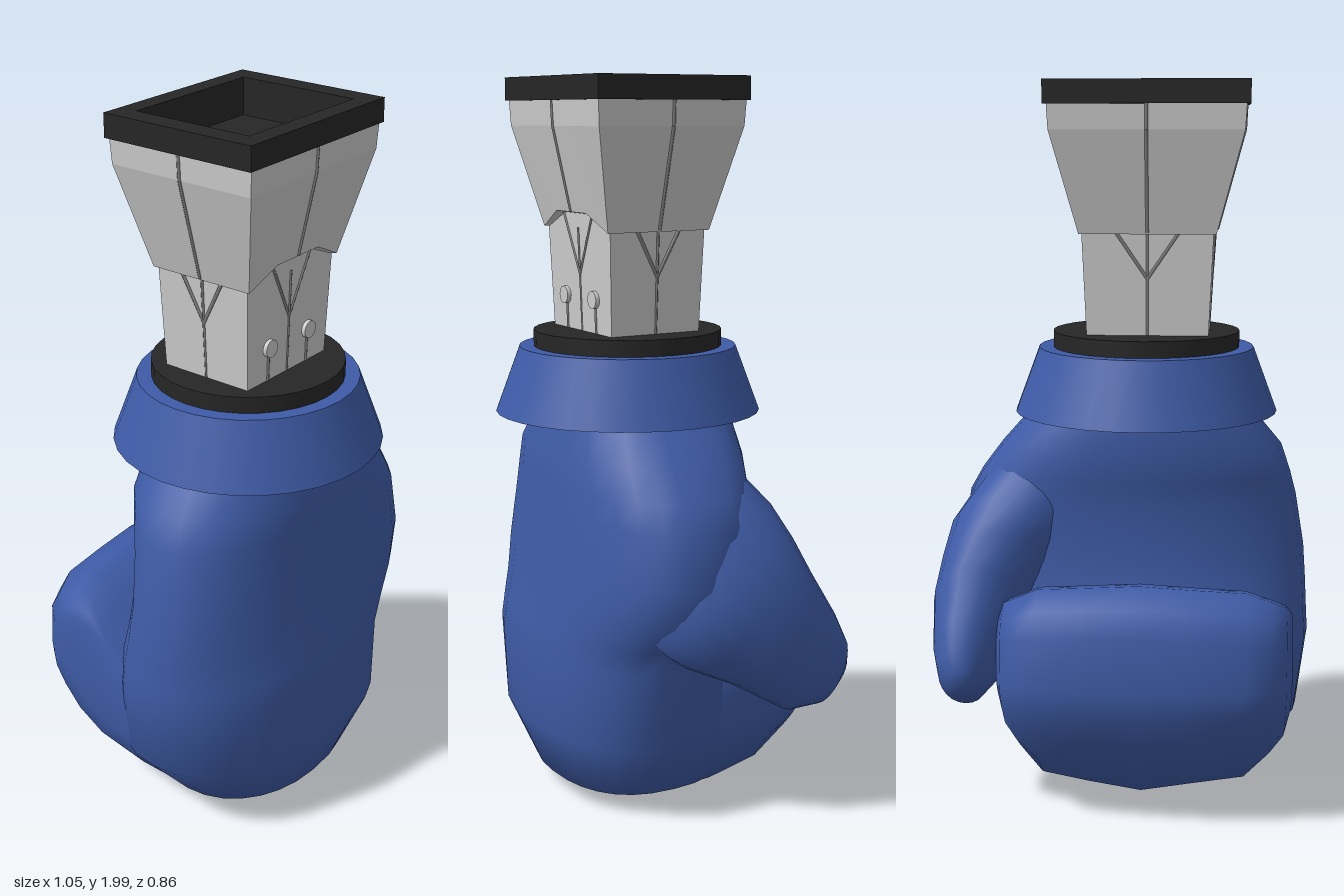
import * as THREE from 'three';

const V = (x, y, z) => new THREE.Vector3(x, y, z);
const CX = -0.073, CZ = 0.067; // axis of cuff and arm

// Skin rings of equal point count; optional start / end points close the ends.
function loft(rings, start, end, flat = false) {
  const n = rings[0].length, pts = rings.flat(), idx = [];
  for (let i = 0; i < rings.length - 1; i++)
    for (let j = 0; j < n; j++) {
      const a = i * n + j, b = i * n + (j + 1) % n;
      idx.push(a, b, b + n, a, b + n, a + n);
    }
  const cap = (p, base, flip) => {
    const c = pts.push(p) - 1;
    for (let j = 0; j < n; j++) {
      const a = base + j, b = base + (j + 1) % n;
      idx.push(c, flip ? b : a, flip ? a : b);
    }
  };
  const last = (rings.length - 1) * n;
  if (start) cap(start, 0, true);
  if (end) cap(end, last, false);
  // turn faces outward
  const mid = pts.reduce((s, p) => s.add(p), V(0, 0, 0)).divideScalar(pts.length);
  let vol = 0;
  for (let i = 0; i < idx.length; i += 3) {
    const [a, b, c] = [0, 1, 2].map(k => pts[idx[i + k]].clone().sub(mid));
    vol += a.dot(b.cross(c));
  }
  if (vol < 0) idx.reverse();
  let g = new THREE.BufferGeometry().setFromPoints(pts);
  g.setIndex(idx);
  if (flat) g = g.toNonIndexed();
  g.computeVertexNormals();
  return g;
}

// Rounded ring around c with half axes u and v; squareness differs on the +u and -u side.
function ring(c, u, v, expPlus, expMinus, n = 28) {
  return Array.from({ length: n }, (_, i) => {
    const a = i / n * Math.PI * 2;
    const f = t => Math.sign(t) * Math.pow(Math.abs(t), 2 / (Math.cos(a) > 0 ? expPlus : expMinus));
    return c.clone().addScaledVector(u, f(Math.cos(a))).addScaledVector(v, f(Math.sin(a)));
  });
}

const rect = (w, d) => [[-w, -d], [w, -d], [w, d], [-w, d]].map(p => new THREE.Vector2(...p));

// Rectangular frame standing from y0 to y1.
function frameGeo(w, d, iw, id, y0, y1) {
  const s = new THREE.Shape(rect(w, d));
  s.holes.push(new THREE.Path(rect(iw, id)));
  return new THREE.ExtrudeGeometry(s, { depth: y1 - y0, bevelEnabled: false })
    .rotateX(-Math.PI / 2).translate(CX, y0, CZ);
}

export function createModel() {
  const model = new THREE.Group();
  const blue = new THREE.MeshStandardMaterial({ color: 0x3e5ba6 });
  const black = new THREE.MeshStandardMaterial({ color: 0x262626 });
  const grey = new THREE.MeshStandardMaterial({ color: 0xcccccc });
  const seamGrey = new THREE.MeshStandardMaterial({ color: 0x808080 });
  const add = (name, geo, mat, parent = model) => {
    const m = new THREE.Mesh(geo, mat);
    m.name = name;
    parent.add(m);
    return m;
  };

  // Hand: y, right edge, left edge, front, back
  const hand = [
    [1.15, -0.33, 0.2, 0.3, -0.16], [1.09, -0.37, 0.265, 0.305, -0.17],
    [1.0, -0.445, 0.345, 0.33, -0.175], [0.92, -0.472, 0.405, 0.335, -0.16],
    [0.85, -0.49, 0.445, 0.34, -0.145], [0.7, -0.515, 0.465, 0.355, -0.14],
    [0.6, -0.522, 0.44, 0.363, -0.16], [0.52, -0.526, 0.385, 0.373, -0.18],
    [0.45, -0.53, 0.345, 0.38, -0.19], [0.23, -0.5, 0.335, 0.38, -0.22],
    [0.065, -0.36, 0.22, 0.315, -0.15],
  ].map(([y, x0, x1, zf, zb]) => ring(V((x0 + x1) / 2, y, (zf + zb) / 2),
    V((x1 - x0) / 2, 0, 0), V(0, 0, (zf - zb) / 2), 2.5, 2.15));
  add('hand', loft(hand, V(-0.065, 1.15, 0.07), V(-0.07, 0.01, 0.12)), blue);

  // Curled fingers: side profile (z, y) swept across x and shrunk at the ends
  const curl = [[-0.17, 0.62], [-0.24, 0.67], [-0.3, 0.68], [-0.38, 0.64], [-0.42, 0.57],
    [-0.43, 0.42], [-0.42, 0.35], [-0.38, 0.26], [-0.31, 0.15], [-0.2, 0.06],
    [-0.04, 0.02], [0.1, 0.015], [0.12, 0.2], [0.06, 0.4], [-0.05, 0.52]];
  const fingers = [[-0.478, 0.6, 0.38], [-0.46, 0.77, 0.55], [-0.42, 0.88, 0.68], [-0.35, 0.95, 0.87],
    [-0.2, 0.985, 0.935], [-0.065, 1, 1], [0.08, 0.985, 0.935], [0.21, 0.95, 0.87],
    [0.275, 0.88, 0.66], [0.308, 0.77, 0.54], [0.328, 0.6, 0.38],
  ].map(([x, sz, sy]) => curl.map(([z, y]) =>
    V(x, 0.4 + (y - 0.4) * (y > 0.4 ? Math.sqrt(sy) : sy), z * sz)));
  add('fingers', loft(fingers, V(-0.485, 0.4, -0.1), V(0.334, 0.4, -0.1)), blue);

  // Thumb: centre, half axis in the side plane (y, z), half thickness
  const thumb = [
    [0.12, 0.97, 0.09, 0.06, -0.16, 0.17], [0.21, 0.85, 0.1, 0.13, -0.18, 0.2],
    [0.28, 0.71, 0.05, 0.175, -0.2, 0.215], [0.34, 0.63, -0.03, 0.165, -0.16, 0.17],
    [0.39, 0.555, -0.11, 0.145, -0.115, 0.13], [0.41, 0.45, -0.22, 0.13, -0.075, 0.095],
    [0.415, 0.41, -0.29, 0.09, -0.045, 0.066], [0.41, 0.405, -0.325, 0.045, -0.02, 0.038],
  ].map(([x, y, z, uy, uz, w]) => ring(V(x, y, z), V(0, uy, uz), V(w, 0, 0), 2.1, 2.1, 22));
  add('thumb', loft(thumb, V(0.08, 1.0, 0.1), V(0.41, 0.4, -0.34)), blue);

  // Cuff and collar
  add('cuff', new THREE.CylinderGeometry(0.3, 0.367, 0.18, 32).translate(-0.063, 1.185, CZ), blue);
  add('collar', new THREE.CylinderGeometry(0.26, 0.26, 0.05, 32).translate(-0.063, 1.295, CZ), black);

  // Arm, lower block
  const block = (y, a, b) => rect(a, b).map(p => V(CX + p.x, y, CZ + p.y));
  add('lowerArm', loft([block(1.3, 0.165, 0.135), block(1.67, 0.181, 0.147)],
    null, V(CX, 1.67, CZ), true), grey);

  // Arm, flared upper block with a raised lower edge at the front
  const flare = (y, a, b, m, ym = y, bm = b) => [V(-a, y, -b), V(a, y, -b), V(a, y, b),
    V(m, ym, bm), V(-m, ym, bm), V(-a, y, b)].map(p => p.add(V(CX, 0, CZ)));
  add('upperArm', loft([flare(1.595, 0.185, 0.155, 0.085, 1.643, 0.167),
    flare(1.87, 0.258, 0.218, 0.1), flare(1.945, 0.262, 0.222, 0.1)],
  V(CX, 1.61, CZ), null, true), grey);

  // Top frame with a sunken floor
  const top = new THREE.Group();
  top.name = 'topFrame';
  model.add(top);
  add('rim', frameGeo(0.272, 0.228, 0.21, 0.175, 1.937, 2), black, top);
  add('well', frameGeo(0.22, 0.185, 0.21, 0.175, 1.89, 1.94), black, top);
  add('wellFloor', new THREE.BoxGeometry(0.43, 0.02, 0.36).translate(CX, 1.89, CZ), black, top);

  // Seams: a Y on each face, built from thin bars lying in the surface
  const seams = new THREE.Group();
  seams.name = 'seams';
  model.add(seams);
  const bar = (a, b, parent, r = 0.005) => {
    const d = b.clone().sub(a);
    const m = add('seam', new THREE.CylinderGeometry(r, r, d.length(), 6), seamGrey, parent);
    m.position.copy(a).addScaledVector(d, 0.5);
    m.quaternion.setFromUnitVectors(V(0, 1, 0), d.normalize());
  };
  for (let k = 0; k < 4; k++) {
    const face = new THREE.Group();
    face.name = 'faceSeams';
    face.position.set(CX, 0, CZ);
    face.rotation.y = k * Math.PI / 2;
    seams.add(face);
    const side = k % 2 === 1;
    const [d0, d1, d2, d3] = side ? [0.164, 0.179, 0.185, 0.258] : [0.134, 0.145, 0.155, 0.218];
    const [w, yv] = side ? [0.065, 1.6] : [0.085, k === 0 ? 1.645 : 1.6];
    bar(V(0, 1.32, d0), V(0, 1.6, d1), face, 0.004);
    bar(V(0, k ? 1.6 : 1.645, k ? d2 : 0.167), V(0, 1.87, d3), face);
    bar(V(0, 1.87, d3), V(0, 1.94, d3 + 0.003), face);
    for (const s of [-1, 1]) bar(V(0, 1.475, (d0 + d1) / 2), V(s * w, yv, d1), face);
  }

  // Two small studs with slots on the front
  for (const s of [-1, 1]) {
    const x = CX + s * 0.082;
    add('stud', new THREE.CylinderGeometry(0.024, 0.024, 0.02, 16).rotateX(Math.PI / 2)
      .translate(x, 1.412, CZ + 0.14), grey);
    bar(V(x, 1.32, CZ + 0.135), V(x, 1.39, CZ + 0.137), seams);
  }
  return model;
}
